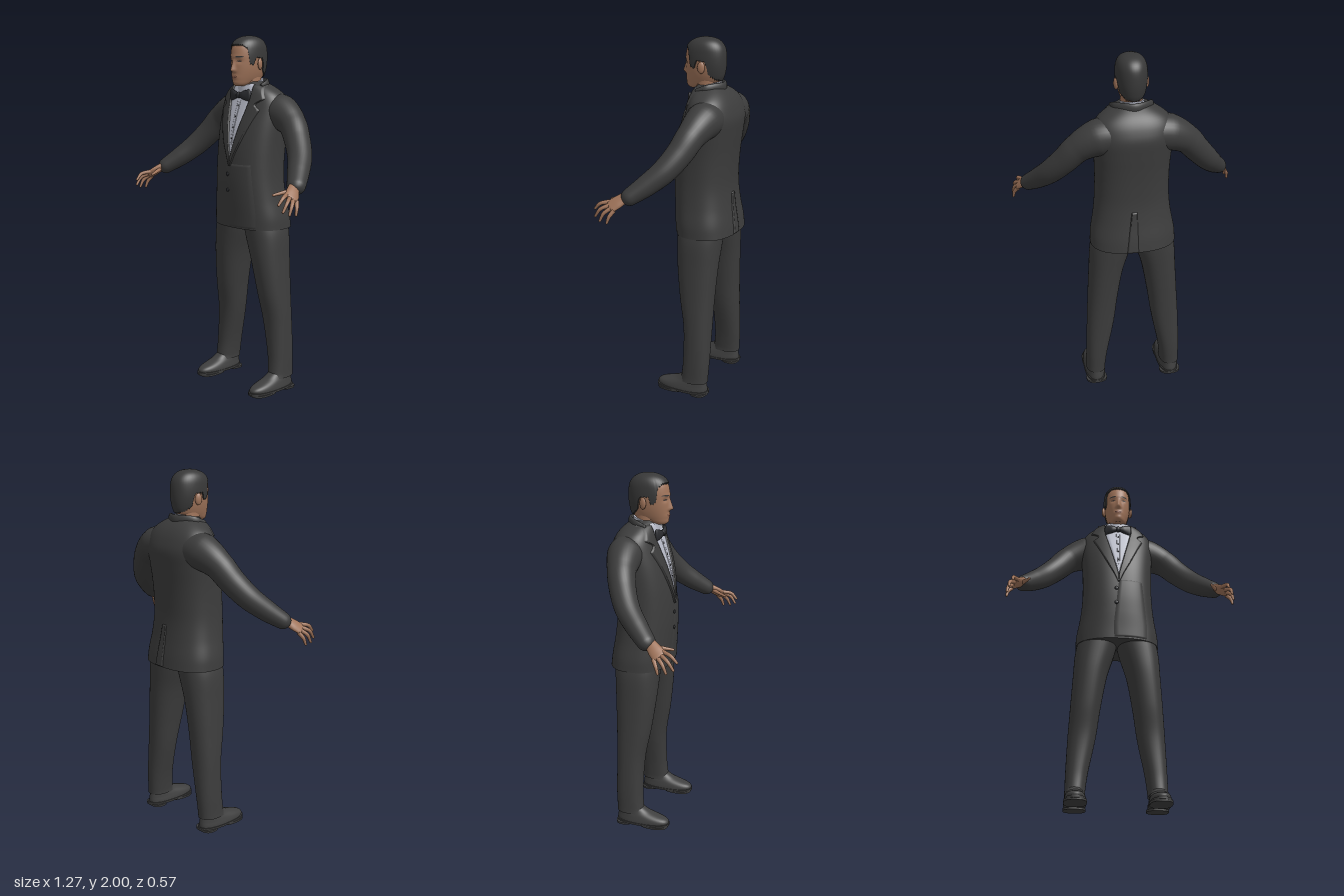
import * as THREE from 'three';

const V = (x, y, z) => new THREE.Vector3(x, y, z);
const { lerp, clamp, smoothstep } = THREE.MathUtils;
const ease = (u) => 0.5 - 0.5 * Math.cos(Math.PI * u);
const mat = (name, color) => Object.assign(new THREE.MeshStandardMaterial({ color }), { name });

// Surface through a list of rings, with optional flat end caps
function skin(rings, wrap = true, caps = true) {
  const pos = [], idx = [], n = rings[0].length;
  rings.forEach((r) => r.forEach((p) => pos.push(p.x, p.y, p.z)));
  for (let i = 0; i < rings.length - 1; i++)
    for (let j = 0; j < (wrap ? n : n - 1); j++) {
      const k = (j + 1) % n, a = i * n + j, b = i * n + k;
      idx.push(a, b, b + n, a, b + n, a + n);
    }
  if (wrap && caps) [rings[0], rings[rings.length - 1]].forEach((r, end) => {
    const base = pos.length / 3, c = V(0, 0, 0);
    r.forEach((p) => { pos.push(p.x, p.y, p.z); c.addScaledVector(p, 1 / n); });
    pos.push(c.x, c.y, c.z);
    for (let j = 0; j < n; j++) {
      const a = base + j, b = base + (j + 1) % n;
      if (end) idx.push(a, b, base + n); else idx.push(b, a, base + n);
    }
  });
  const g = new THREE.BufferGeometry();
  g.setAttribute('position', new THREE.Float32BufferAttribute(pos, 3));
  g.setIndex(idx);
  g.computeVertexNormals();
  return g;
}

// Smooth lookup in rows of [y, xMin, xMax, zBack, zFront, squareness]
function at(rows, y) {
  const last = rows.length - 1;
  y = clamp(y, rows[0][0], rows[last][0]);
  let i = 0;
  while (i < last - 1 && y > rows[i + 1][0]) i++;
  const h = rows[i + 1][0] - rows[i][0], u = (y - rows[i][0]) / h;
  const slope = (k, c) => {
    const a = rows[Math.max(k - 1, 0)], b = rows[Math.min(k + 1, last)];
    return (b[c] - a[c]) / (b[0] - a[0]);
  };
  const f = (c) => (1 + 2 * u) * (1 - u) ** 2 * rows[i][c] + u * (1 - u) ** 2 * h * slope(i, c)
    + u * u * (3 - 2 * u) * rows[i + 1][c] - u * u * (1 - u) * h * slope(i + 1, c);
  return { cx: (f(1) + f(2)) / 2, rx: (f(2) - f(1)) / 2, cz: (f(3) + f(4)) / 2, rz: (f(4) - f(3)) / 2, n: f(5) };
}
function point(rows, t, y) {
  const s = at(rows, y), q = (v) => Math.sign(v) * Math.abs(v) ** (2 / s.n);
  return V(s.cx + s.rx * q(Math.cos(t)), y, s.cz - s.rz * q(Math.sin(t)));
}
function surfaceZ(rows, x, y, side = 1) {
  const s = at(rows, y), k = Math.min(1, Math.abs((x - s.cx) / s.rx));
  return s.cz + side * s.rz * (1 - k ** s.n) ** (1 / s.n);
}
function stack(rows, ny = 40, nt = 48, fn = point, caps = true) {
  const y0 = rows[0][0], y1 = rows[rows.length - 1][0], rings = [];
  for (let i = 0; i <= ny; i++)
    rings.push(Array.from({ length: nt }, (_, j) => fn(rows, j / nt * Math.PI * 2, lerp(y0, y1, ease(i / ny)))));
  return skin(rings, true, caps);
}
const sym = (rows, n) => rows.map(([y, w, b, f]) => [y, -w, w, b, f, n]);
const mirror = (rows, s) => rows.map(([y, a, b, zb, zf, n = 2.3]) => [y, s > 0 ? a : -b, s > 0 ? b : -a, zb, zf, n]);

// Tube through [x, y, z, radiusAcross, radiusThick], with a rounded far end
function tube(pts, s, ref, steps = 16, nt = 20) {
  const curve = new THREE.CatmullRomCurve3(pts.map((p) => V(p[0] * s, p[1], p[2])));
  const up = V(ref[0] * s, ref[1], ref[2]), rings = [];
  for (let i = 0; i <= steps + 5; i++) {
    const u = Math.min(i / steps, 1), a = Math.max(0, i - steps) / 5 * Math.PI / 2;
    const f = u * (pts.length - 1), k = Math.min(Math.floor(f), pts.length - 2);
    const r = [3, 4].map((c) => lerp(pts[k][c], pts[k + 1][c], f - k));
    const T = curve.getTangent(u), N = up.clone().cross(T).normalize(), B = T.clone().cross(N);
    const c = curve.getPoint(u).addScaledVector(T, Math.min(...r) * Math.sin(a));
    const m = Math.max(Math.cos(a), 0.02);
    rings.push(Array.from({ length: nt }, (_, j) => {
      const t = j / nt * Math.PI * 2;
      return c.clone().addScaledVector(N, r[0] * m * Math.cos(t)).addScaledVector(B, r[1] * m * Math.sin(t));
    }));
  }
  return skin(rings);
}

// Thin panel laid on a body surface; rows are [y, xA, xB] going up
function panel(body, rows, off, s = 1, side = 1, ny = 48, nx = 12) {
  const grid = [];
  for (let i = 0; i <= ny; i++) {
    const y = lerp(rows[0][0], rows[rows.length - 1][0], i / ny);
    let k = 0;
    while (k < rows.length - 2 && y > rows[k + 1][0]) k++;
    const u = (y - rows[k][0]) / (rows[k + 1][0] - rows[k][0]);
    const a = lerp(rows[k][1], rows[k + 1][1], u), b = lerp(rows[k][2], rows[k + 1][2], u);
    grid.push(Array.from({ length: nx + 1 }, (_, j) => {
      const x = s * lerp(a, b, s * side > 0 ? j / nx : 1 - j / nx);
      const o = j === 0 || j === nx || i === 0 || i === ny ? -0.002 : off;
      return V(x, y, surfaceZ(body, x, y, side) + o * side);
    }));
  }
  return skin(grid, false);
}

const TORSO = sym([[0.935, 0.238, -0.28, 0.055], [1.0, 0.234, -0.272, 0.058], [1.1, 0.216, -0.256, 0.065],
  [1.2, 0.205, -0.246, 0.069], [1.3, 0.202, -0.248, 0.066], [1.4, 0.204, -0.256, 0.056], [1.5, 0.21, -0.268, 0.036],
  [1.58, 0.215, -0.274, 0.012], [1.64, 0.21, -0.258, -0.008], [1.68, 0.188, -0.238, -0.02],
  [1.71, 0.15, -0.214, -0.028], [1.735, 0.105, -0.185, -0.035], [1.75, 0.07, -0.165, -0.042]], 2.4);
const HEAD = sym([[1.725, 0.02, -0.035, 0.014], [1.735, 0.037, -0.075, 0.026], [1.76, 0.053, -0.15, 0.034],
  [1.79, 0.064, -0.172, 0.036], [1.82, 0.071, -0.18, 0.037], [1.85, 0.075, -0.184, 0.037], [1.88, 0.077, -0.185, 0.037],
  [1.91, 0.077, -0.184, 0.035], [1.94, 0.074, -0.178, 0.027], [1.965, 0.064, -0.162, 0.009], [1.982, 0.046, -0.138, -0.018],
  [1.991, 0.022, -0.108, -0.05], [1.993, 0.001, -0.08, -0.078]], 2.15);
const LEG = [[0.075, 0.168, 0.282, -0.197, -0.035], [0.1, 0.168, 0.28, -0.198, -0.042], [0.2, 0.155, 0.278, -0.203, -0.05],
  [0.4, 0.115, 0.27, -0.205, -0.045], [0.57, 0.09, 0.26, -0.21, -0.015], [0.76, 0.055, 0.248, -0.22, 0.01],
  [0.9, 0.012, 0.238, -0.23, 0.02], [1.0, -0.01, 0.215, -0.235, 0.025]];
const SHOE = [[0.018, 0.166, 0.284, -0.197, 0.108], [0.035, 0.167, 0.283, -0.197, 0.11], [0.05, 0.17, 0.28, -0.195, 0.092],
  [0.062, 0.173, 0.277, -0.193, 0.055], [0.08, 0.178, 0.272, -0.19, 0.0], [0.11, 0.182, 0.268, -0.186, -0.05]];

// Nose, eye sockets, brow, lips and chin
function relief(x, y) {
  const g = (v, c, w) => Math.exp(-(((v - c) / w) ** 2)), k = clamp((1.878 - y) / 0.066, 0, 1);
  return 0.024 * k * g(x, 0, 0.008 + 0.006 * k) * smoothstep(y, 1.796, 1.813)
    - 0.007 * g(Math.abs(x), 0.032, 0.015) * g(y, 1.862, 0.012) + 0.003 * g(y, 1.886, 0.009) * g(x, 0, 0.045)
    + 0.004 * g(x, 0, 0.022) * g(y, 1.775, 0.01) + 0.004 * g(x, 0, 0.02) * g(y, 1.743, 0.012);
}
function facePoint(rows, t, y) {
  const p = point(rows, t, y);
  if (p.z > at(rows, y).cz) p.z += relief(p.x, y) * smoothstep(p.z, -0.06, 0);
  return p;
}
// Hairline height by angle in degrees from the face: temple, sideburn, ear, nape
const HAIRLINE = [[0, 1.947], [35, 1.945], [55, 1.925], [63, 1.85], [76, 1.84], [82, 1.88], [104, 1.875], [114, 1.81], [140, 1.785], [180, 1.775]];
function hairRings() {
  const nt = 128, ny = 30, mid = V(0, 1.87, -0.075);
  return Array.from({ length: ny + 1 }, (_, i) => Array.from({ length: nt }, (_, j) => {
    const t = j / nt * Math.PI * 2, deg = Math.acos(clamp(-Math.sin(t), -1, 1)) * 180 / Math.PI;
    let k = 0;
    while (k < HAIRLINE.length - 2 && deg > HAIRLINE[k + 1][0]) k++;
    const [a, b] = [HAIRLINE[k], HAIRLINE[k + 1]];
    const low = lerp(a[1], b[1], (deg - a[0]) / (b[0] - a[0])) + 0.004 * Math.sin(j * 2.1);
    const p = point(HEAD, t, lerp(low, 1.993, ease(i / ny)));
    return p.addScaledVector(p.clone().sub(mid).normalize(), i === 0 ? -0.004 : 0.007);
  }));
}

export function createModel() {
  const model = new THREE.Group();
  const suit = mat('suit cloth', 0x3c3c3c), leather = mat('shoe leather', 0x3f3f3f), hair = mat('hair', 0x383838);
  const flesh = mat('skin', 0xa0745a), lip = mat('lips', 0x8a5c4b), shirt = mat('shirt', 0xb8bbc8);
  const satin = mat('bow tie', 0x2a2b2f), eye = mat('eyes', 0x463a35);
  const add = (name, geo, m) => {
    const mesh = new THREE.Mesh(geo, m);
    mesh.name = name;
    model.add(mesh);
    return mesh;
  };
  const blob = (name, m, p, r) => {
    const b = add(name, new THREE.SphereGeometry(1, 20, 14), m);
    b.position.set(...p);
    b.scale.set(...r);
    return b;
  };
  const facePatch = (name, m, x0, y0, w, h, off = 0.0015) => {
    const g = new THREE.CircleGeometry(1, 20), p = g.attributes.position;
    for (let i = 0; i < p.count; i++) {
      const x = x0 + p.getX(i) * w, y = y0 + p.getY(i) * h;
      p.setXYZ(i, x, y, surfaceZ(HEAD, x, y) + relief(x, y) + off);
    }
    g.computeVertexNormals();
    add(name, g, m);
  };

  // Jacket body, front overlap, back vent and collar
  add('jacket', stack(TORSO, 60, 72), suit);
  add('frontOverlap', panel(TORSO, [[0.94, -0.03, 0.17], [1.02, -0.034, 0.17], [1.3, -0.002, 0.14]], 0.004), suit);
  add('backVent', panel(TORSO, [[0.936, -0.005, 0.06], [1.17, -0.002, 0.03]], 0.006, 1, -1), suit);
  add('jacketCollar', tube([[0.108, 1.715, -0.07, 0.01, 0.022], [0.092, 1.735, -0.13, 0.012, 0.026], [0, 1.738, -0.182, 0.012, 0.028],
    [-0.092, 1.735, -0.13, 0.012, 0.026], [-0.108, 1.715, -0.07, 0.01, 0.022]], 1, [0, 1, 0], 32), suit);

  // Shirt front, collar, studs and jacket buttons
  add('shirtFront', panel(TORSO, [[1.345, -0.002, 0.002], [1.42, -0.021, 0.021], [1.55, -0.053, 0.053], [1.66, -0.08, 0.08], [1.74, -0.08, 0.08]], 0.004), shirt);
  add('shirtPlacket', panel(TORSO, [[1.4, -0.006, 0.006], [1.65, -0.013, 0.013]], 0.006), shirt);
  const collar = stack(sym([[1.68, 0.078, -0.168, -0.02], [1.72, 0.073, -0.166, -0.018], [1.752, 0.066, -0.164, -0.018]], 2.1), 8, 48);
  const cp = collar.attributes.position;
  for (let i = 0; i < cp.count; i++) cp.setY(i, cp.getY(i) - (cp.getZ(i) + 0.1) * 0.25);
  collar.computeVertexNormals();
  add('shirtCollar', collar, shirt);
  [1.44, 1.5, 1.56, 1.62].forEach((y) => blob('shirtStud', satin, [0, y, surfaceZ(TORSO, 0, y) + 0.007], [0.005, 0.005, 0.003]));
  [1.24, 1.15].forEach((y) => blob('jacketButton', satin, [-0.014, y, surfaceZ(TORSO, 0, y) + 0.005], [0.011, 0.011, 0.005]));
  blob('bowTieKnot', satin, [0, 1.676, 0], [0.015, 0.018, 0.014]);

  // Neck, head and hair
  add('neck', stack(sym([[1.68, 0.064, -0.155, -0.028], [1.75, 0.058, -0.152, -0.018], [1.82, 0.058, -0.155, -0.02]], 2), 10, 40), flesh);
  add('head', stack(HEAD, 72, 112, facePoint), flesh);
  add('hair', skin(hairRings(), true, false), hair);
  facePatch('upperLip', lip, 0, 1.7795, 0.023, 0.0045);
  facePatch('lowerLip', lip, 0, 1.772, 0.019, 0.005);

  [1, -1].forEach((s) => {
    facePatch('eye', eye, s * 0.032, 1.862, 0.013, 0.0045);
    facePatch('eyebrow', hair, s * 0.034, 1.885, 0.02, 0.0045, 0.002);
    blob('ear', flesh, [s * 0.082, 1.846, -0.085], [0.011, 0.032, 0.02]).rotation.y = s * 0.3;

    // Lapel with notch, and bow tie wing
    add('lapel', panel(TORSO, [[1.285, 0, 0.004], [1.345, 0.002, 0.03], [1.42, 0.019, 0.068], [1.55, 0.05, 0.125], [1.598, 0.061, 0.148],
      [1.622, 0.067, 0.118], [1.634, 0.07, 0.122], [1.658, 0.074, 0.162], [1.735, 0.076, 0.118]], 0.009, s, 1, 90, 14), suit);
    add('bowTieWing', tube([[0.006, 1.676, -0.002, 0.012, 0.011], [0.035, 1.676, -0.002, 0.024, 0.013],
      [0.07, 1.676, -0.012, 0.034, 0.01]], s, [0, 0, 1]), satin);

    // Sleeve
    add('sleeve', tube([[0.1, 1.59, -0.15, 0.1, 0.1], [0.19, 1.58, -0.148, 0.098, 0.1], [0.29, 1.525, -0.13, 0.077, 0.078],
      [0.36, 1.445, -0.098, 0.071, 0.071], [0.43, 1.362, -0.045, 0.066, 0.065], [0.49, 1.292, 0.028, 0.059, 0.057],
      [0.542, 1.238, 0.095, 0.05, 0.046]], s, [0, 1, 0], 48, 32), suit);

    // Hand with palm, fingers and thumb
    const palmUp = [0.77, 0.63, 0.07];
    add('palm', tube([[0.535, 1.245, 0.085, 0.028, 0.024], [0.553, 1.228, 0.125, 0.032, 0.021], [0.574, 1.207, 0.155, 0.038, 0.018],
      [0.591, 1.189, 0.18, 0.039, 0.014]], s, palmUp), flesh);
    [['indexFinger', [0.572, 1.207, 0.195], [0.593, 1.196, 0.243], [0.594, 1.165, 0.274]],
      ['middleFinger', [0.585, 1.195, 0.185], [0.612, 1.172, 0.232], [0.614, 1.131, 0.262]],
      ['ringFinger', [0.596, 1.184, 0.172], [0.62, 1.155, 0.207], [0.626, 1.114, 0.228]],
      ['littleFinger', [0.604, 1.173, 0.155], [0.623, 1.142, 0.174], [0.629, 1.109, 0.185]],
      ['thumb', [0.55, 1.222, 0.13], [0.527, 1.21, 0.18], [0.507, 1.2, 0.226]]].forEach(([name, a, b, c]) =>
      add(name, tube([[...a, 0.012, 0.012], [...b, 0.01, 0.01], [...c, 0.007, 0.007]], s, palmUp, 12, 12), flesh));

    // Trouser leg and shoe
    add('trouserLeg', stack(mirror(LEG, s), 48, 40), suit);
    add('shoe', stack(mirror(SHOE, s), 24, 48), leather);
    const plate = (name, y0, y1, z0, z1) => add(name, stack(mirror([[y0, 0.164, 0.286, z0, z1, 2.6], [y1, 0.163, 0.287, z0, z1, 2.6]], s), 1, 48), leather);
    plate('sole', 0.01, 0.022, -0.2, 0.114);
    plate('heel', 0, 0.012, -0.2, -0.1);
    plate('frontSole', 0, 0.012, -0.06, 0.108);
  });
  return model;
}
